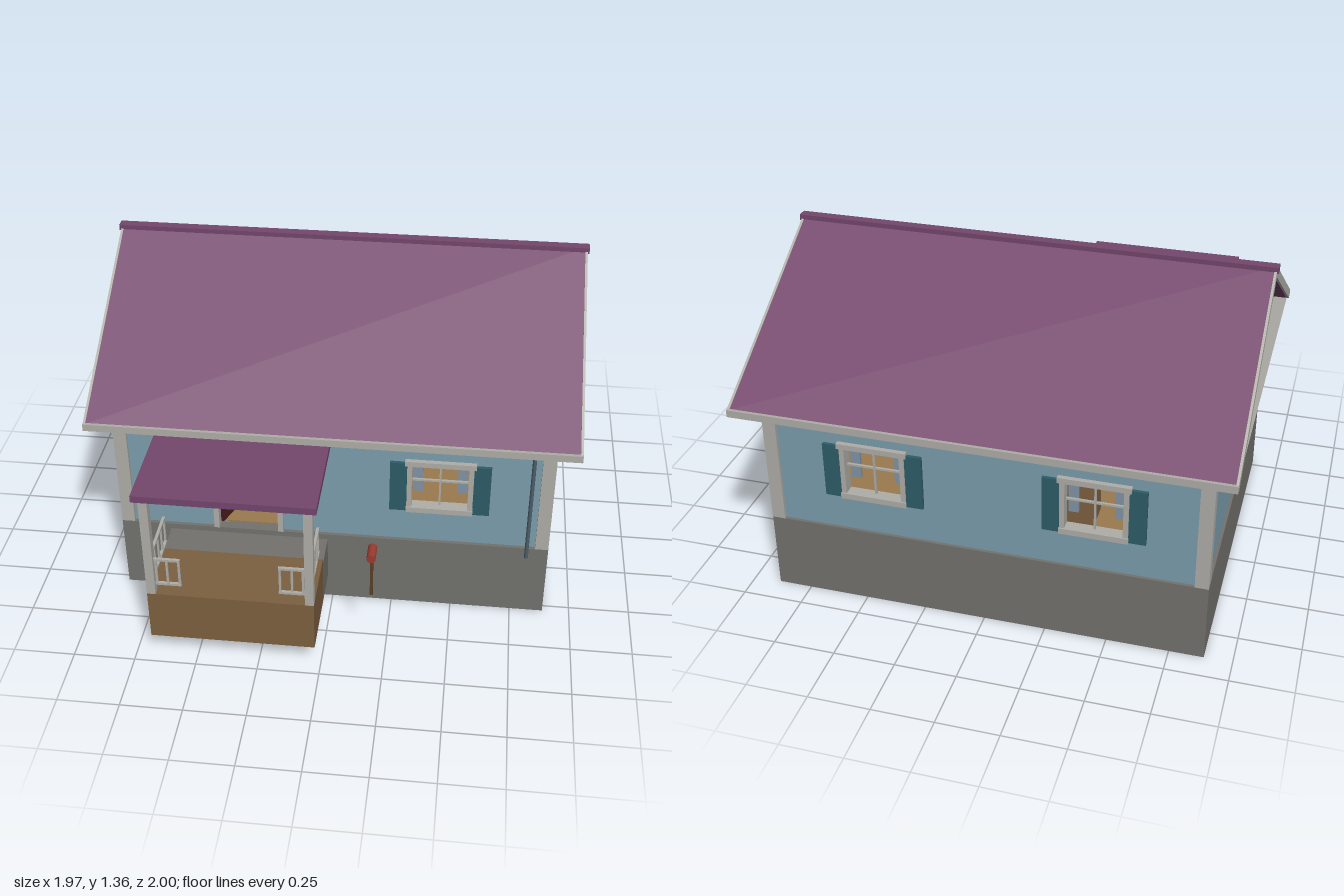
import * as THREE from 'three';

const mat = (color, side = THREE.FrontSide) => new THREE.MeshStandardMaterial({ color, side });
const M = {
  wall: mat(0x7c9eae), trim: mat(0xb0aea8), base: mat(0x73726e), roof: mat(0x74466c),
  wood: mat(0x7d6040), shutter: mat(0x2d5d68), door: mat(0x4a1a1c), red: mat(0x9a3c2e),
  dark: mat(0x33333a), brown: mat(0x5a4028), floor: mat(0x9a7b4f), pipe: mat(0x4c5f6b),
  lamp: mat(0xc9b48a, THREE.DoubleSide), blueCloth: mat(0x8295a6), greenCloth: mat(0x8a9a78),
  soffit: mat(0xaaa8a2, THREE.DoubleSide),
};
const MID = -0.187; // z of the ridge

function add(parent, name, geometry, material, x = 0, y = 0, z = 0) {
  const mesh = new THREE.Mesh(geometry, material);
  mesh.name = name;
  mesh.position.set(x, y, z);
  parent.add(mesh);
  return mesh;
}

// box given by its lower and upper limits on each axis
function box(parent, name, material, x0, x1, y0, y1, z0, z1) {
  return add(parent, name, new THREE.BoxGeometry(x1 - x0, y1 - y0, z1 - z0), material,
    (x0 + x1) / 2, (y0 + y1) / 2, (z0 + z1) / 2);
}

function polygon(points) {
  return new THREE.Shape(points.map(([x, y]) => new THREE.Vector2(x, y)));
}

// wall facing local +z, with rectangular openings [x0, x1, y0, y1]
function wall(parent, name, outline, openings, x, z, turn) {
  const g = new THREE.Group();
  g.name = name;
  g.position.set(x, 0, z);
  g.rotation.y = turn;
  parent.add(g);
  const shape = polygon(outline);
  for (const [x0, x1, y0, y1] of openings) {
    shape.holes.push(polygon([[x0, y0], [x0, y1], [x1, y1], [x1, y0]]));
  }
  const geo = new THREE.ExtrudeGeometry(shape, { depth: 0.03, bevelEnabled: false });
  add(g, name + 'Panel', geo, M.wall, 0, 0, -0.03);
  return g;
}

const opening = (u) => [u - 0.115, u + 0.115, 0.505, 0.712];

// window with frame, glazing bars, shutters and curtains
function addWindow(parent, u, cloth) {
  const g = new THREE.Group();
  g.name = 'window';
  g.position.x = u;
  parent.add(g);
  box(g, 'windowSill', M.trim, -0.135, 0.135, 0.483, 0.507, -0.03, 0.022);
  box(g, 'windowHead', M.trim, -0.142, 0.142, 0.71, 0.733, -0.03, 0.02);
  box(g, 'verticalBar', M.trim, -0.004, 0.004, 0.507, 0.71, -0.018, -0.008);
  box(g, 'horizontalBar', M.trim, -0.115, 0.115, 0.622, 0.63, -0.018, -0.008);
  for (const s of [-1, 1]) {
    const mirrored = (name, m, a, b, ...rest) => box(g, name, m, Math.min(s * a, s * b), Math.max(s * a, s * b), ...rest);
    mirrored('windowJamb', M.trim, 0.113, 0.133, 0.507, 0.71, -0.03, 0.016);
    mirrored('shutter', M.shutter, 0.134, 0.202, 0.485, 0.72, 0, 0.014);
    mirrored('curtain', cloth, 0.07, 0.11, 0.55, 0.705, -0.05, -0.038);
  }
}

// inverted V roof section running along x
function chevron(parent, name, material, half, eave, ridge, thick, x0, x1) {
  const shape = polygon([[-half, eave], [-half + 0.02, eave - 0.033], [0, ridge - thick],
    [half - 0.02, eave - 0.033], [half, eave], [0, ridge]]);
  const geo = new THREE.ExtrudeGeometry(shape, { depth: x1 - x0, bevelEnabled: false });
  geo.rotateY(Math.PI / 2);
  return add(parent, name, geo, material, x0, 0, MID);
}

function buildPorch(house) {
  const g = new THREE.Group();
  g.name = 'porch';
  house.add(g);
  box(g, 'porchDeck', M.wood, -0.68, -0.02, 0.11, 0.33, 0.69, 0.967);
  box(g, 'porchLanding', M.base, -0.68, -0.02, 0.11, 0.305, 0.52, 0.69);
  box(g, 'porchRoof', M.roof, -0.697, 0, 0.806, 0.835, 0.515, 1);
  for (const s of [-1, 1]) {
    const side = new THREE.Group();
    side.name = 'porchSide';
    side.position.x = -0.35 + s * 0.3125;
    g.add(side);
    box(side, 'porchPost', M.trim, -0.0175, 0.0175, 0.33, 0.806, 0.932, 0.967);
    // side railing
    for (const y of [0.37, 0.49]) box(side, 'sideRail', M.trim, -0.006, 0.006, y, y + 0.01, 0.695, 0.94);
    for (const z of [0.698, 0.755, 0.81, 0.87, 0.925]) {
      box(side, 'sideBaluster', M.trim, -0.004, 0.004, 0.372, 0.495, z - 0.004, z + 0.004);
    }
    // short front railing
    for (const y of [0.37, 0.49]) {
      add(side, 'frontRail', new THREE.BoxGeometry(0.105, 0.01, 0.012), M.trim, -s * 0.068, y + 0.005, 0.95);
    }
    for (const d of [0.025, 0.068, 0.115]) {
      add(side, 'frontBaluster', new THREE.BoxGeometry(0.009, 0.125, 0.009), M.trim, -s * d, 0.433, 0.95);
    }
  }
}

function buildDoor(front) {
  box(front, 'doorJamb', M.trim, -0.495, -0.473, 0.33, 0.745, -0.03, 0.018);
  box(front, 'doorJamb', M.trim, -0.227, -0.205, 0.33, 0.745, -0.03, 0.018);
  box(front, 'doorHead', M.trim, -0.5, -0.2, 0.738, 0.76, -0.03, 0.02);
  // leaf standing open into the house
  const hinge = new THREE.Group();
  hinge.name = 'frontDoor';
  hinge.position.set(-0.47, 0, -0.02);
  hinge.rotation.y = 1.19;
  front.add(hinge);
  box(hinge, 'doorLeaf', M.door, 0, 0.24, 0.335, 0.735, -0.008, 0.008);
  add(hinge, 'doorKnob', new THREE.SphereGeometry(0.009, 12, 8), M.trim, 0.22, 0.52, 0.014);
}

function buildRoof(house) {
  const g = new THREE.Group();
  g.name = 'roof';
  house.add(g);
  chevron(g, 'roofCovering', M.roof, 0.803, 0.876, 1.35, 0.04, -0.966, 0.966);
  for (const x of [-0.976, 0.966]) chevron(g, 'bargeBoard', M.trim, 0.808, 0.876, 1.352, 0.044, x, x + 0.01);
  box(g, 'ridgeCap', M.roof, -0.983, 0.983, 1.332, 1.357, MID - 0.021, MID + 0.021);
  for (const s of [-1, 1]) {
    const z = MID + s * 0.803;
    box(g, 'gutter', M.trim, -0.976, 0.976, 0.848, 0.878, z - 0.01, z + 0.01);
  }
  const soffit = add(g, 'soffit', new THREE.PlaneGeometry(1.935, 1.58), M.soffit, 0, 0.853, MID);
  soffit.rotation.x = -Math.PI / 2;
}

export function createModel() {
  const house = new THREE.Group();
  house.name = 'house';
  box(house, 'foundation', M.base, -0.888, 0.888, 0, 0.33, -0.895, 0.53);
  box(house, 'floor', M.floor, -0.845, 0.845, 0.33, 0.334, -0.85, 0.485);

  // long walls
  const long = [[-0.875, 0.3], [0.875, 0.3], [0.875, 0.86], [-0.875, 0.86]];
  const front = wall(house, 'frontWall', long, [opening(0.435), [-0.475, -0.225, 0.33, 0.74]], 0, 0.515, 0);
  addWindow(front, 0.435, M.blueCloth);
  buildDoor(front);
  box(front, 'porchLight', M.dark, -0.146, -0.122, 0.67, 0.72, 0, 0.025);
  const back = wall(house, 'backWall', long, [opening(-0.44), opening(0.44)], 0, -0.882, Math.PI);
  for (const u of [-0.44, 0.44]) addWindow(back, u, M.blueCloth);

  // gable walls with a round vent
  const gable = [[-0.693, 0.3], [0.693, 0.3], [0.693, 0.895], [0, 1.32], [-0.693, 0.895]];
  for (const s of [-1, 1]) {
    const g = wall(house, 'gableWall', gable, [opening(0)], s * 0.876, MID, s * Math.PI / 2);
    addWindow(g, 0, M.greenCloth);
    const vent = add(g, 'gableVent', new THREE.CylinderGeometry(0.053, 0.053, 0.02, 32), M.trim, 0, 1.1, 0.005);
    vent.rotation.x = Math.PI / 2;
  }

  // corner boards
  for (const x of [-0.861, 0.861]) {
    for (const z of [-0.868, 0.502]) {
      box(house, 'cornerBoard', M.trim, x - 0.027, x + 0.027, 0.33, 0.852, z - 0.028, z + 0.028);
    }
  }
  buildRoof(house);
  buildPorch(house);
  add(house, 'downspout', new THREE.CylinderGeometry(0.008, 0.008, 0.56, 12), M.pipe, 0.8, 0.57, 0.537);

  // mailbox on its post
  const mailbox = new THREE.Group();
  mailbox.name = 'mailbox';
  mailbox.position.set(0.19, 0, 0.818);
  house.add(mailbox);
  box(mailbox, 'mailboxPost', M.brown, -0.006, 0.006, 0.28, 0.48, -0.006, 0.006);
  const drum = add(mailbox, 'mailboxBody', new THREE.CylinderGeometry(0.018, 0.018, 0.075, 20), M.red, 0, 0.491, 0);
  drum.rotation.x = Math.PI / 2;

  // things inside
  box(house, 'cabinet', M.wood, -0.38, -0.19, 0.334, 0.66, -0.62, -0.5);
  add(house, 'lampShade', new THREE.CylinderGeometry(0.015, 0.042, 0.03, 20, 1, true), M.lamp, 0.39, 0.7, -0.13);
  add(house, 'lampCord', new THREE.CylinderGeometry(0.003, 0.003, 0.14, 6), M.dark, 0.39, 0.783, -0.13);
  return house;
}
